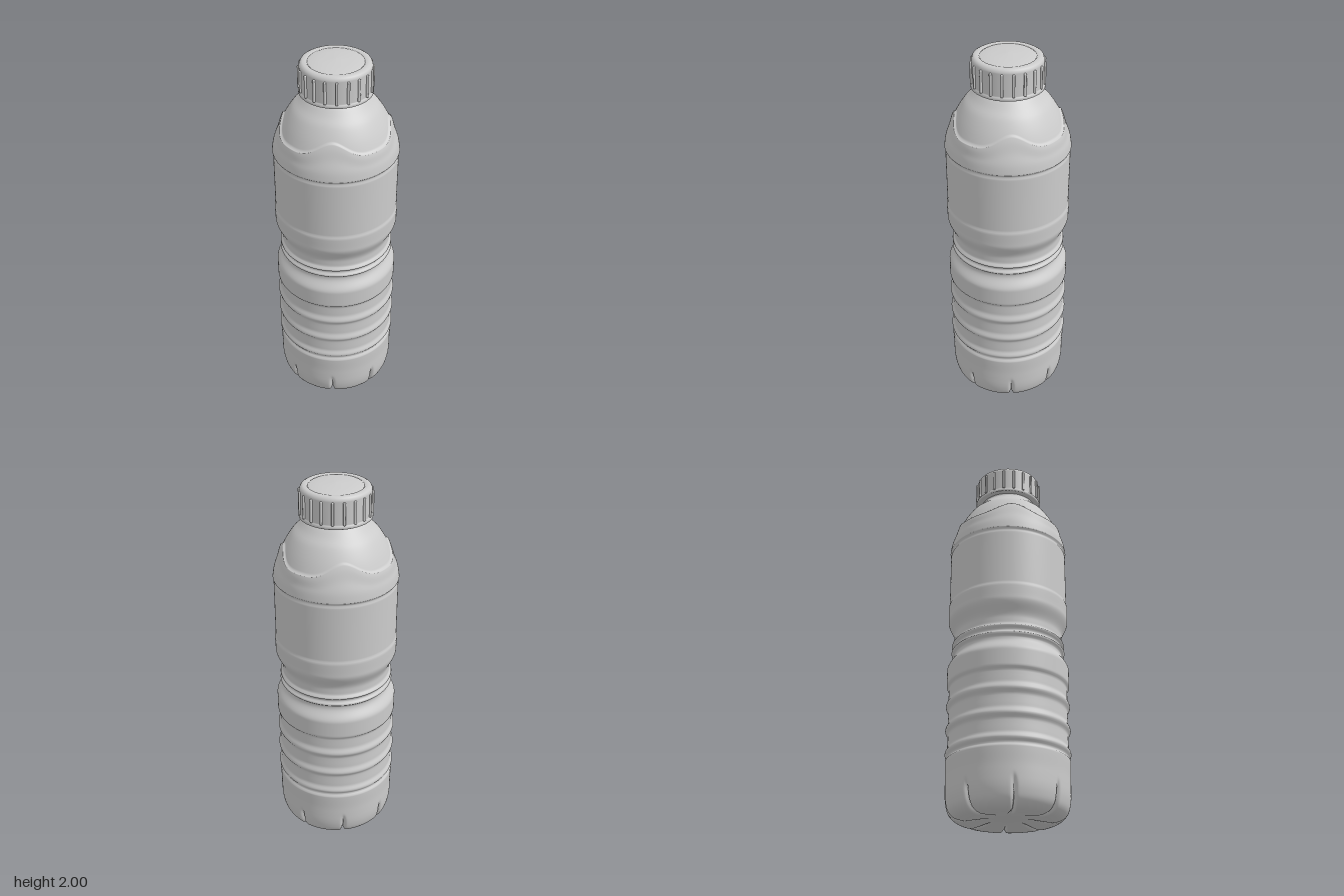
import * as THREE from 'three';
import { mergeVertices } from 'three/addons/utils/BufferGeometryUtils.js';
import { RoundedBoxGeometry } from 'three/addons/geometries/RoundedBoxGeometry.js';

const { smoothstep, degToRad } = THREE.MathUtils;
const material = new THREE.MeshStandardMaterial({ color: 0xcccccc });
const TWIST = degToRad(-5); // shared turn of base notches and shoulder wave
const NOTCHES = 8, PER_NOTCH = 24;
const LIP = 1.655, SHOULDER = 1.51, NECK = 1.82;

const vectors = (list) => list.map(([x, y]) => new THREE.Vector2(x, y));

// Base: shallow hollow underneath, rounded edge, up to the wall [radius, y]
const basePoints = new THREE.SplineCurve(vectors([
  [0, 0.02], [0.05, 0.019], [0.1, 0.015], [0.15, 0.008], [0.19, 0.002], [0.225, 0], [0.26, 0.008],
  [0.285, 0.025], [0.302, 0.05], [0.311, 0.085], [0.315, 0.12], [0.316, 0.16], [0.316, 0.2],
])).getPoints(48);

// Wall: ribs, waist, label panel [y, radius]
const wall = [
  [0.2, 0.316], [0.3, 0.319], [0.313, 0.308], [0.34, 0.322], [0.37, 0.31],
  [0.435, 0.308], [0.465, 0.322], [0.5, 0.31], [0.562, 0.308], [0.595, 0.322], [0.63, 0.31],
  [0.69, 0.309], [0.71, 0.321], [0.8, 0.321], [0.875, 0.285], [0.885, 0.285], [0.9, 0.301],
  [0.915, 0.286], [0.925, 0.286], [0.94, 0.301], [0.957, 0.287], [0.99, 0.287], [1.09, 0.321],
  [1.165, 0.323], [1.177, 0.318], [1.483, 0.318], [1.495, 0.313], [1.51, 0.322],
];
function wallRadius(y) {
  const i = Math.max(1, wall.findIndex((p) => p[0] >= y));
  const [y0, r0] = wall[i - 1], [y1, r1] = wall[i];
  return r0 + (r1 - r0) * smoothstep(y, y0, y1);
}

// Shoulder: smooth taper to the neck [radius, y]
const shoulder = new THREE.SplineCurve(vectors([
  [0.322, 1.51], [0.313, 1.56], [0.29, 1.62], [0.257, 1.69], [0.219, 1.75], [0.184, 1.785], [0.152, 1.82],
])).getPoints(90);
function shoulderRadius(y) {
  let i = shoulder.findIndex((p) => p.y >= y);
  if (i < 0) i = shoulder.length - 1;
  i = Math.max(1, i);
  const a = shoulder[i - 1], b = shoulder[i];
  return a.x + (b.x - a.x) * (y - a.y) / (b.y - a.y);
}

function createBody() {
  const points = [...basePoints];
  for (let y = 0.21; y < SHOULDER; y += 0.0075) points.push(new THREE.Vector2(wallRadius(y), y));
  for (let y = SHOULDER; y < LIP - 0.004; y += 0.01) points.push(new THREE.Vector2(shoulderRadius(y), y));
  for (const y of [LIP - 0.003, LIP, LIP + 0.003]) points.push(new THREE.Vector2(shoulderRadius(y), y));
  for (let y = LIP + 0.011; y < NECK; y += 0.01) points.push(new THREE.Vector2(shoulderRadius(y), y));
  points.push(...vectors([[0.15, NECK], [0.148, 1.83], [0.148, 1.86]]));

  const geometry = new THREE.LatheGeometry(points, NOTCHES * PER_NOTCH);
  const pos = geometry.attributes.position;
  for (let k = 0; k < pos.count; k++) {
    const column = Math.floor(k / points.length) % (NOTCHES * PER_NOTCH);
    let { x: r, y } = points[k % points.length];

    // Columns crowd together around each notch
    const notch = Math.round(column / PER_NOTCH);
    const t = (column / PER_NOTCH - notch) * 2;
    const offset = Math.sign(t) * (0.3 * Math.abs(t) + 0.7 * t * t) * Math.PI / NOTCHES;
    const angle = notch * 2 * Math.PI / NOTCHES + offset + TWIST;

    if (y < 0.2) {
      // Notches run up the wall and in under the base
      const groove = Math.exp(-((r * offset / 0.009) ** 2));
      const under = smoothstep(r, 0.07, 0.2);
      const fade = 1 - smoothstep(y, 0.1, 0.17);
      r *= 1 - 0.06 * groove * fade * under;
      y += 0.016 * groove * under * (1 - smoothstep(y, 0.02, 0.12));
    } else if (y > SHOULDER && y < NECK) {
      // Wavy raised lip with four peaks around the shoulder
      const lift = 0.065 * ((1 + Math.cos(4 * (angle - TWIST))) / 2) ** 2 - 0.03;
      const weight = y > LIP ? (NECK - y) / (NECK - LIP) : (y - SHOULDER) / (LIP - SHOULDER);
      const lip = y <= LIP ? 0.009 * smoothstep(y, 1.58, LIP - 0.003) : 0;
      y += lift * weight;
      r = shoulderRadius(y) + lip;
    }
    pos.setXYZ(k, r * Math.sin(angle), y, r * Math.cos(angle));
  }
  geometry.deleteAttribute('uv');
  geometry.deleteAttribute('normal');
  const merged = mergeVertices(geometry, 1e-5);
  merged.computeVertexNormals();
  const body = new THREE.Mesh(merged, material);
  body.name = 'bottleBody';
  return body;
}

function createCap() {
  const cap = new THREE.Group();
  cap.name = 'cap';
  // Shell with a tamper ring below and a slightly domed disc on top
  const shell = new THREE.Mesh(new THREE.LatheGeometry(vectors([
    [0.146, 1.84], [0.15, 1.832], [0.178, 1.83], [0.183, 1.833], [0.183, 1.844], [0.178, 1.848],
    [0.177, 1.853], [0.177, 1.968], [0.176, 1.975], [0.171, 1.985], [0.16, 1.991], [0.142, 1.991],
    [0.139, 1.987], [0.136, 1.987], [0.132, 1.99], [0.08, 1.997], [0, 2],
  ]), 64), material);
  shell.name = 'capShell';
  cap.add(shell);

  // Grip ribs
  const ribGeometry = new RoundedBoxGeometry(0.013, 0.118, 0.018, 2, 0.005);
  const count = 20;
  for (let i = 0; i < count; i++) {
    const angle = i * 2 * Math.PI / count;
    const rib = new THREE.Mesh(ribGeometry, material);
    rib.name = 'capRib';
    rib.position.set(0.177 * Math.sin(angle), 1.908, 0.177 * Math.cos(angle));
    rib.rotation.y = angle;
    cap.add(rib);
  }
  return cap;
}

export function createModel() {
  const model = new THREE.Group();
  model.name = 'bottle';
  model.add(createBody(), createCap());
  return model;
}
